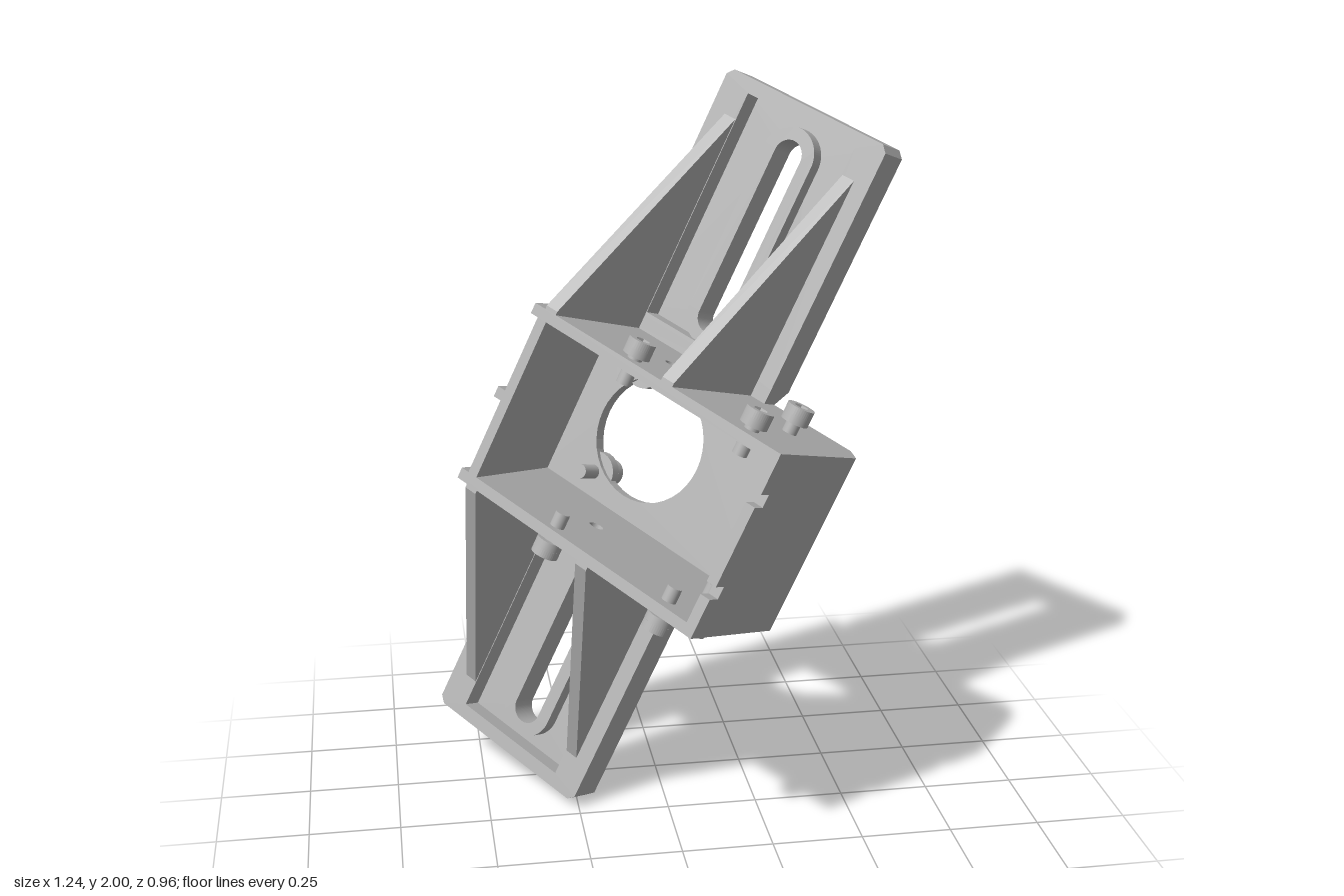
import * as THREE from 'three';

const grey = new THREE.MeshStandardMaterial({ color: 0xb2b2b2 });
grey.name = 'plain grey';

// Local frame: x across the plate, y along the wings, z from plate to open front.
const BACK = -0.19, FRONT = 0.265, RIGHT = 0.408, HALF = 0.26, WALL = 0.03;
const MID = -0.167; // centre line of the wings

function mesh(name, geometry) {
  const m = new THREE.Mesh(geometry, grey);
  m.name = name;
  return m;
}

function polygon(points) {
  return new THREE.Shape(points.map(([x, y]) => new THREE.Vector2(x, y)));
}

function circle(Kind, x, y, r) {
  const p = new Kind();
  p.absarc(x, y, r, 0, Math.PI * 2, false);
  return p;
}

function stadium(Kind, x, y0, y1, r) {
  const p = new Kind();
  p.moveTo(x + r, y0);
  p.lineTo(x + r, y1);
  p.absarc(x, y1, r, 0, Math.PI, false);
  p.lineTo(x - r, y0);
  p.absarc(x, y0, r, Math.PI, Math.PI * 2, false);
  return p;
}

function extrude(shape, depth) {
  return new THREE.ExtrudeGeometry(shape, { depth, bevelEnabled: false, curveSegments: 20 });
}

// Outline in (x, y), filled from z0 to z1
function slabZ(name, shape, z0, z1) {
  return mesh(name, extrude(shape, z1 - z0).translate(0, 0, z0));
}

// Outline in (x, z), filled from y0 to y1
function slabY(name, shape, y0, y1) {
  return mesh(name, extrude(shape, y1 - y0).rotateX(Math.PI / 2).translate(0, y1, 0));
}

// Outline in (z, y), filled from x0 to x1
function slabX(name, shape, x0, x1) {
  return mesh(name, extrude(shape, x1 - x0).rotateY(-Math.PI / 2).translate(x1, 0, 0));
}

// Socket head screw along +y, its seat at y = 0
function screw(name, washer, neck, shaft) {
  const g = new THREE.Group();
  g.name = name;
  const add = (part, r, y0, y1) => {
    const geo = new THREE.CylinderGeometry(r, r, y1 - y0, 24).translate(0, (y0 + y1) / 2, 0);
    g.add(mesh(part, geo));
  };
  add('screwShaft', 0.02, -shaft, neck);
  if (washer) add('washer', 0.058, 0, 0.03);
  add('headBase', 0.037, neck, neck + 0.022);
  const ring = circle(THREE.Shape, 0, 0, 0.037);
  const hex = [];
  for (let i = 0; i < 6; i++) {
    const t = i * Math.PI / 3;
    hex.push(new THREE.Vector2(0.02 * Math.cos(t), 0.02 * Math.sin(t)));
  }
  ring.holes.push(new THREE.Path(hex));
  const head = extrude(ring, 0.022).rotateX(-Math.PI / 2).translate(0, neck + 0.022, 0);
  g.add(mesh('headSocket', head));
  return g;
}

// One slotted wing with raised rim, slot lip and two triangular gussets
function makeWing(name) {
  const g = new THREE.Group();
  g.name = name;
  const w = 0.27, y0 = 0.3, y1 = 1.005, cut = 0.018;
  const outline = () => polygon([
    [MID - w, y0], [MID + w, y0], [MID + w, y1 - cut], [MID + w - cut, y1],
    [MID - w + cut, y1], [MID - w, y1 - cut],
  ]);
  const floor = outline();
  floor.holes.push(stadium(THREE.Path, MID, 0.385, 0.865, 0.043));
  g.add(slabZ('wingFloor', floor, -0.237, -0.195));

  const rim = outline();
  const pocket = 0.182;
  rim.holes.push(polygon([
    [MID - pocket, y0 + 0.01], [MID + pocket, y0 + 0.01],
    [MID + pocket, 0.965], [MID - pocket, 0.965],
  ]));
  g.add(slabZ('wingRim', rim, -0.195, -0.137));

  // Sloped foot joining the wing to the box
  g.add(slabX('wingFoot', polygon([
    [-0.237, y0], [BACK, 0.258], [-0.137, 0.258], [-0.137, y0],
  ]), MID - w, MID + w));

  const lip = stadium(THREE.Shape, MID, 0.385, 0.865, 0.08);
  lip.holes.push(stadium(THREE.Path, MID, 0.385, 0.865, 0.043));
  g.add(slabZ('slotLip', lip, -0.195, -0.155));

  for (const side of [-1, 1]) {
    const x = MID + side * 0.203;
    g.add(slabX('gusset', polygon([
      [-0.2, 0.255], [FRONT, 0.255], [FRONT, 0.27], [-0.19, 0.97], [-0.2, 0.97],
    ]), x - 0.019, x + 0.019));
  }
  return g;
}

export function createModel() {
  const model = new THREE.Group();
  model.name = 'bracket';
  const body = new THREE.Group();
  body.name = 'bracketBody';
  body.rotation.set(0, -Math.PI / 4, -25 * Math.PI / 180, 'ZYX');
  body.position.y = 1.002;
  model.add(body);

  // Upper and lower wings
  body.add(makeWing('upperWing'));
  const lower = makeWing('lowerWing');
  lower.rotation.z = Math.PI;
  lower.position.x = 2 * MID;
  body.add(lower);

  // Back plate with the round opening
  const back = polygon([[-0.48, -HALF], [0.365, -HALF], [0.365, HALF], [-0.48, HALF]]);
  back.holes.push(circle(THREE.Path, -0.18, 0, 0.175));
  body.add(slabZ('backPlate', back, BACK, BACK + 0.035));

  // Top and bottom plates, each with a small hole
  const plate = polygon([
    [-0.425, FRONT], [RIGHT, FRONT], [RIGHT, -0.145], [0.365, BACK], [-0.49, BACK],
  ]);
  plate.holes.push(circle(THREE.Path, -0.106, 0.035, 0.02));
  body.add(slabY('topPlate', plate, HALF - WALL, HALF));
  body.add(slabY('bottomPlate', plate, -HALF, WALL - HALF));

  // Chamfered corner between back plate and end wall
  body.add(slabY('cornerStrip', polygon([
    [RIGHT, -0.145], [0.365, BACK], [0.35, BACK + 0.03], [RIGHT - WALL, -0.135],
  ]), WALL - HALF, HALF - WALL));

  // End wall with two notches in its front edge
  const inner = HALF - WALL, n = 0.018, deep = FRONT - 0.04;
  const edge = [[-0.145, -inner], [FRONT, -inner]];
  for (const y of [-0.13, 0.13]) {
    edge.push([FRONT, y - n], [deep, y - n], [deep, y + n], [FRONT, y + n]);
  }
  edge.push([FRONT, inner], [-0.145, inner]);
  body.add(slabX('endWall', polygon(edge), RIGHT - WALL, RIGHT));

  // Slanted wall on the other end and its middle rib
  body.add(slabY('slantedWall', polygon([
    [-0.4, FRONT], [-0.37, FRONT], [-0.45, BACK], [-0.485, BACK],
  ]), -inner, inner));
  body.add(slabY('middleRib', polygon([
    [-0.425, FRONT], [-0.39, FRONT], [-0.465, BACK], [-0.49, BACK],
  ]), -0.015, 0.015));

  for (const side of [-1, 1]) {
    // Screws through top and bottom plates
    for (const [x, z, neck] of [[-0.106, 0.22, 0.01], [0.276, 0.205, 0.012], [0.275, 0.005, 0.03]]) {
      const s = screw('plateScrew', false, neck, 0.07);
      s.position.set(x, side * HALF, z);
      if (side < 0) s.rotation.x = Math.PI;
      body.add(s);
    }
    // Bolts with washers on the back plate, those by the opening set deeper
    for (const [x, sink] of [[-0.3, 0.022], [0.3, 0]]) {
      const s = screw('backBolt', true, 0.04, 0.08);
      s.position.set(x, side * 0.165, BACK + sink);
      s.rotation.x = -Math.PI / 2;
      body.add(s);
    }
  }
  return model;
}
